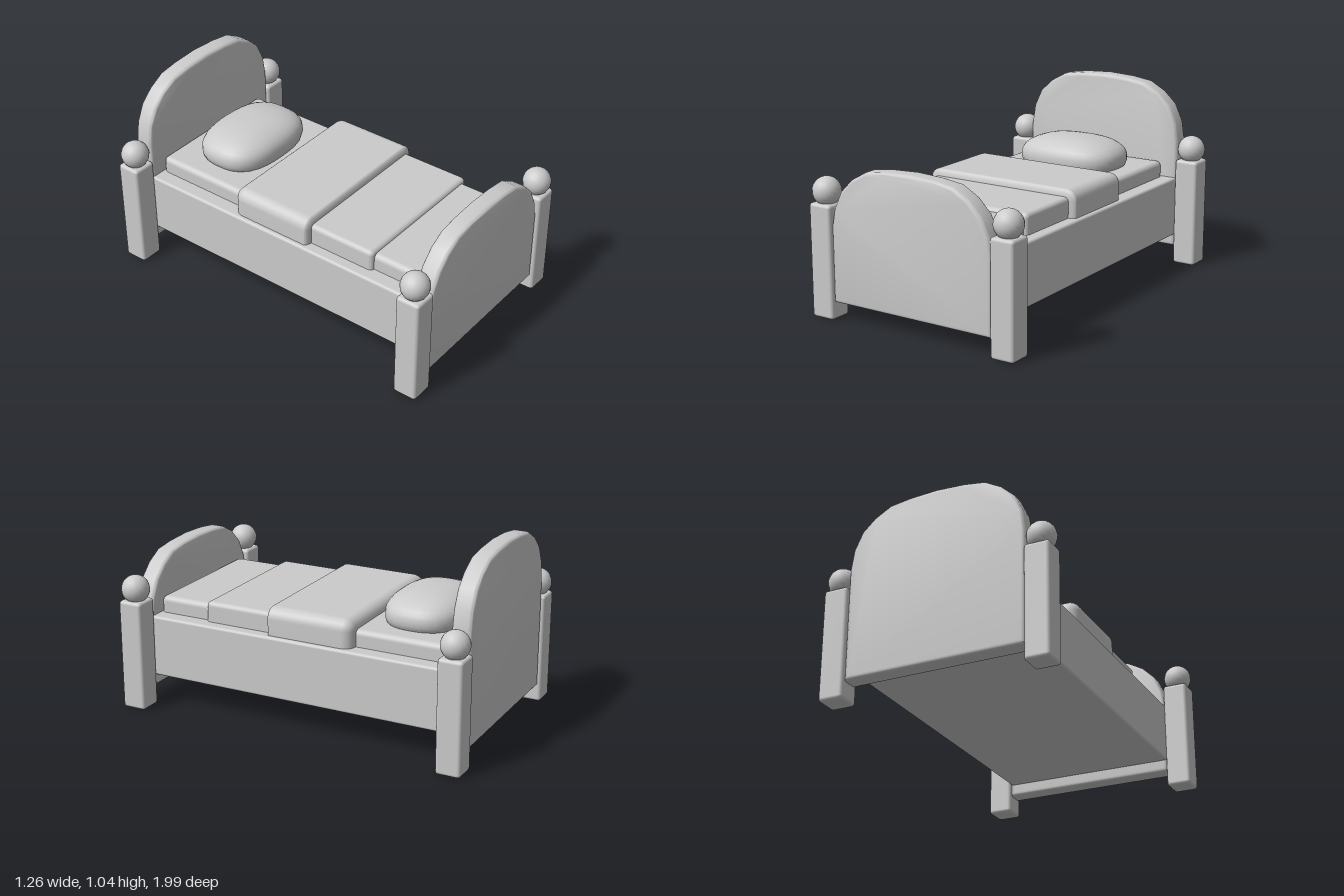
import * as THREE from 'three';
import { mergeVertices, toCreasedNormals } from 'three/addons/utils/BufferGeometryUtils.js';
import { RoundedBoxGeometry } from 'three/addons/geometries/RoundedBoxGeometry.js';

const material = new THREE.MeshStandardMaterial({ color: 0xcccccc });

function add(parent, name, geometry, x = 0, y = 0, z = 0) {
  const mesh = new THREE.Mesh(geometry, material);
  mesh.name = name;
  mesh.position.set(x, y, z);
  parent.add(mesh);
  return mesh;
}

// Soft box given by half width, y range and z range
function addSlab(parent, name, halfX, y0, y1, z0, z1, radius) {
  const geometry = new RoundedBoxGeometry(halfX * 2, y1 - y0, z1 - z0, 4, radius);
  return add(parent, name, geometry, 0, (y0 + y1) / 2, (z0 + z1) / 2);
}

// Arched end board with rounded rims
function boardGeometry(arch) {
  const bottom = 0.095, bevel = 0.02, depth = 0.106;
  const right = arch.map(([x, y]) => new THREE.Vector2(x, y));
  const left = arch.filter(([x]) => x > 0).reverse().map(([x, y]) => new THREE.Vector2(-x, y));
  const shape = new THREE.Shape([
    new THREE.Vector2(0.487, bottom), ...right, ...left, new THREE.Vector2(-0.487, bottom),
  ]);
  const geometry = new THREE.ExtrudeGeometry(shape, {
    depth: depth - 2 * bevel, bevelEnabled: true, bevelThickness: bevel,
    bevelSize: bevel, bevelOffset: -bevel, bevelSegments: 4,
  });
  geometry.translate(0, 0, bevel - depth / 2);
  return toCreasedNormals(geometry, 0.7);
}

// Plump cushion: a sphere squared off by a superellipse rule
function pillowGeometry(rx, ry, rz) {
  const geometry = new THREE.SphereGeometry(1, 32, 20);
  const p = geometry.attributes.position;
  const v = new THREE.Vector3();
  for (let i = 0; i < p.count; i++) {
    v.fromBufferAttribute(p, i);
    const plan = Math.hypot(v.x, v.z);
    const e = 2.7;
    const norm = (Math.abs(v.x) ** e + Math.abs(v.z) ** e) ** (1 / e);
    const grow = norm > 1e-6 ? plan / norm : 1;
    const puff = 1 / (plan ** 2.4 + Math.abs(v.y) ** 2.4) ** (1 / 2.4);
    p.setXYZ(i, v.x * grow * puff * rx, v.y * puff * ry, v.z * grow * puff * rz);
  }
  geometry.deleteAttribute('normal');
  geometry.deleteAttribute('uv');
  const merged = mergeVertices(geometry, 1e-4);
  merged.computeVertexNormals();
  return merged;
}

// Turned-down cover: large rounding towards the pillow, tight rounding at the foot
function foldGeometry(width, height, length) {
  const radius = 0.06;
  const geometry = new RoundedBoxGeometry(width, height, length, 5, radius);
  const p = geometry.attributes.position;
  const start = length / 2 - radius;
  for (let i = 0; i < p.count; i++) {
    const z = p.getZ(i);
    if (z < start - 1e-4) continue;
    p.setZ(i, length / 2 - (length / 2 - z) * 0.4);
  }
  geometry.deleteAttribute('normal');
  geometry.deleteAttribute('uv');
  const merged = mergeVertices(geometry, 1e-4);
  merged.computeVertexNormals();
  return merged;
}

export function createModel() {
  const bed = new THREE.Group();
  bed.name = 'bed';

  // Corner posts with ball finials
  for (const sx of [1, -1]) {
    for (const sz of [1, -1]) {
      const post = new THREE.Group();
      post.name = (sz > 0 ? 'front' : 'back') + (sx > 0 ? 'Left' : 'Right') + 'Post';
      post.position.set(sx * 0.553, 0, sz * 0.92);
      add(post, 'leg', new RoundedBoxGeometry(0.135, 0.605, 0.135, 3, 0.018), 0, 0.3025, 0);
      add(post, 'finial', new THREE.SphereGeometry(0.076, 18, 14), 0, 0.663, 0);
      bed.add(post);
    }
  }

  // End boards
  add(bed, 'headboard', boardGeometry([
    [0.487, 0.7], [0.47, 0.81], [0.425, 0.905], [0.355, 0.97], [0.265, 1.02], [0.15, 1.037], [0, 1.045],
  ]), 0, 0, -0.919);
  add(bed, 'footboard', boardGeometry([
    [0.487, 0.5], [0.47, 0.59], [0.425, 0.685], [0.355, 0.755], [0.265, 0.805], [0.15, 0.82], [0, 0.827],
  ]), 0, 0, 0.919);

  // Frame and bedding
  addSlab(bed, 'frame', 0.485, 0.16, 0.497, -0.89, 0.89, 0.015);
  addSlab(bed, 'mattress', 0.4, 0.42, 0.587, -0.865, 0.865, 0.03);
  addSlab(bed, 'blanket', 0.422, 0.42, 0.607, -0.2, 0.567, 0.025);
  add(bed, 'blanketFold', foldGeometry(0.92, 0.225, 0.495), 0, 0.5325, -0.0625);
  add(bed, 'pillow', pillowGeometry(0.3, 0.117, 0.215), 0, 0.632, -0.56);

  return bed;
}
